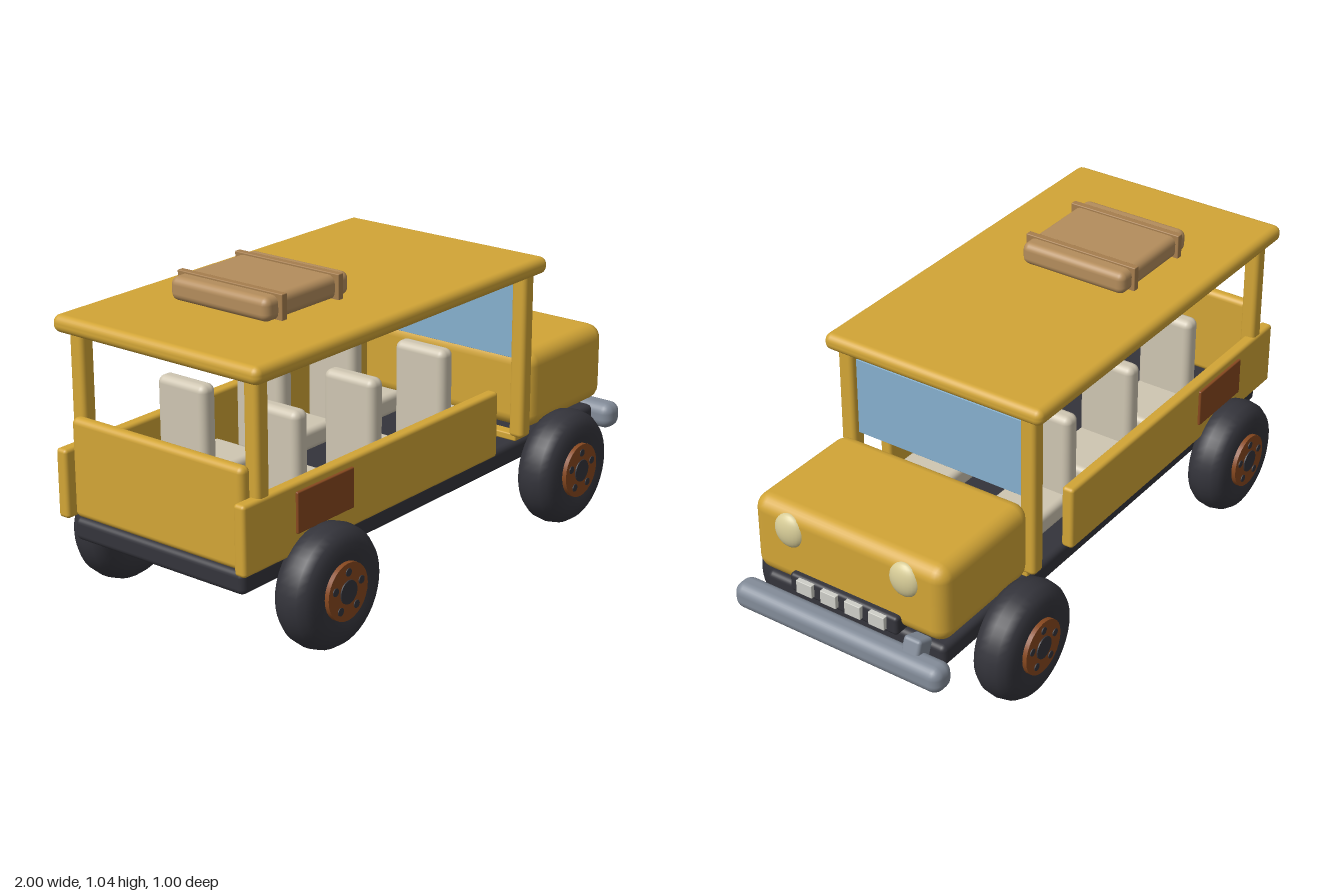
import * as THREE from 'three';
import { RoundedBoxGeometry } from 'three/addons/geometries/RoundedBoxGeometry.js';

const mat = (name, color) => {
  const m = new THREE.MeshStandardMaterial({ color });
  m.name = name;
  return m;
};

export function createModel() {
  const model = new THREE.Group();
  model.name = 'openTruck';

  const yellow = mat('yellow paint', 0xd2a536);
  const dark = mat('dark rubber', 0x34343b);
  const steel = mat('bumper steel', 0x838c99);
  const rust = mat('rust brown', 0x87481f);
  const tan = mat('suitcase tan', 0xb48d5c);
  const strapBrown = mat('strap brown', 0xa67e4e);
  const cream = mat('seat cream', 0xcfc6b2);
  const lamp = mat('lamp cream', 0xd8cd98);
  const white = mat('grille white', 0xcfcfc8);
  const glass = mat('window blue', 0x86b0ce);
  glass.side = THREE.DoubleSide;

  const add = (name, geometry, material, parent = model) => {
    const mesh = new THREE.Mesh(geometry, material);
    mesh.name = name;
    parent.add(mesh);
    return mesh;
  };
  // Rounded box given by its [min, max] range on each axis
  const box = (name, material, [x0, x1], [y0, y1], [z0, z1], r = 0.01, parent = model) => {
    const s = [x1 - x0, y1 - y0, z1 - z0];
    const radius = Math.min(r, Math.min(...s) * 0.49);
    const mesh = add(name, new RoundedBoxGeometry(...s, 3, radius), material, parent);
    mesh.position.set((x0 + x1) / 2, (y0 + y1) / 2, (z0 + z1) / 2);
    return mesh;
  };
  // Range on z mirrored to the given side
  const mirror = (side, a, b) => (side > 0 ? [a, b] : [-b, -a]);

  // Chassis, hood, roof and tailgate
  box('chassis', dark, [-0.97, 0.89], [0.245, 0.32], [-0.345, 0.345], 0.02);
  box('hood', yellow, [0.46, 0.915], [0.342, 0.615], [-0.365, 0.365], 0.05);
  box('hoodSill', yellow, [0.41, 0.455], [0.32, 0.345], [-0.345, 0.345], 0.005);
  box('roof', yellow, [-0.968, 0.485], [0.903, 0.96], [-0.41, 0.41], 0.025);
  box('tailgate', yellow, [-0.967, -0.922], [0.32, 0.645], [-0.345, 0.345], 0.02);
  box('windshield', glass, [0.428, 0.437], [0.605, 0.875], [-0.325, 0.325], 0.001);

  for (const side of [1, -1]) {
    // Side walls with a plate, and the roof posts
    box('sideWall', yellow, [-1, 0.257], [0.322, 0.548], mirror(side, 0.337, 0.38), 0.012);
    box('sidePlate', rust, [-0.77, -0.505], [0.39, 0.522], mirror(side, 0.37, 0.389), 0.004);
    box('rearPost', yellow, [-0.93, -0.875], [0.4, 0.92], mirror(side, 0.32, 0.375), 0.015);
    box('frontPost', yellow, [0.405, 0.46], [0.335, 0.92], mirror(side, 0.318, 0.374), 0.015);

    // Headlight
    const light = add('headlight', new THREE.SphereGeometry(1, 24, 16), lamp);
    light.scale.set(0.03, 0.06, 0.056);
    light.position.set(0.905, 0.536, side * 0.219);

    // Three seats on each side
    for (const x of [-0.62, -0.255, 0.11]) {
      const seat = new THREE.Group();
      seat.name = 'seat';
      model.add(seat);
      const z = mirror(side, 0.085, 0.285);
      box('seatBack', cream, [x - 0.032, x + 0.032], [0.35, 0.71], z, 0.025, seat);
      box('seatCushion', cream, [x - 0.02, x + 0.243], [0.35, 0.425], z, 0.02, seat);
    }
  }

  // Grille with four bright slots
  box('grille', dark, [0.87, 0.938], [0.335, 0.4], [-0.206, 0.206], 0.012);
  for (const z of [-0.138, -0.047, 0.046, 0.139]) {
    box('grilleSlot', white, [0.93, 0.952], [0.35, 0.396], [z - 0.03, z + 0.03], 0.002);
  }

  // Front bumper with an off-centre bracket
  box('bumper', steel, [0.908, 0.997], [0.222, 0.313], [-0.397, 0.397], 0.035);
  const bracket = box('bumperBracket', steel, [0.89, 0.96], [0.25, 0.35], [-0.297, -0.232], 0.012);
  bracket.rotation.z = 0.35;

  // Steering wheel and column
  const wheelRing = add('steeringWheel', new THREE.TorusGeometry(0.032, 0.007, 10, 28), dark);
  wheelRing.rotation.x = Math.PI / 2;
  wheelRing.scale.x = 1.2;
  wheelRing.position.set(0.32, 0.652, -0.185);
  const column = add('steeringColumn', new THREE.CylinderGeometry(0.008, 0.008, 0.08, 12), dark);
  column.rotation.z = Math.PI / 2;
  column.position.set(0.388, 0.652, -0.185);

  // Suitcase on the roof with two straps
  box('suitcase', tan, [-0.637, -0.242], [0.958, 1.035], [-0.232, 0.163], 0.025);
  for (const x of [-0.573, -0.307]) {
    box('suitcaseStrap', strapBrown, [x - 0.012, x + 0.012], [0.955, 1.042], [-0.243, 0.178], 0.003);
  }

  // Wheels: rounded tyre, hub, cap and five bolts, the same on both faces
  const profile = [[0.08, -0.06], [0.12, -0.072], [0.15, -0.07], [0.176, -0.058], [0.192, -0.035], [0.198, 0],
    [0.192, 0.035], [0.176, 0.058], [0.15, 0.07], [0.12, 0.072], [0.08, 0.06]];
  const tyre = new THREE.LatheGeometry(profile.map(([r, y]) => new THREE.Vector2(r, y)), 40);
  const disc = (r, h, n = 28) => new THREE.CylinderGeometry(r, r, h, n);
  for (const x of [-0.67, 0.587]) {
    for (const side of [1, -1]) {
      const wheel = new THREE.Group();
      wheel.name = 'wheel';
      wheel.position.set(x, 0.2, side * 0.418);
      wheel.rotation.x = Math.PI / 2;
      model.add(wheel);
      add('tyre', tyre, dark, wheel);
      add('hub', disc(0.093, 0.158), rust, wheel);
      add('hubCap', disc(0.038, 0.166), dark, wheel);
      for (let i = 0; i < 5; i++) {
        const a = (i / 5) * Math.PI * 2 - Math.PI / 2;
        const bolt = add('bolt', disc(0.013, 0.164, 12), dark, wheel);
        bolt.position.set(0.064 * Math.cos(a), 0, 0.064 * Math.sin(a));
      }
    }
  }
  return model;
}
